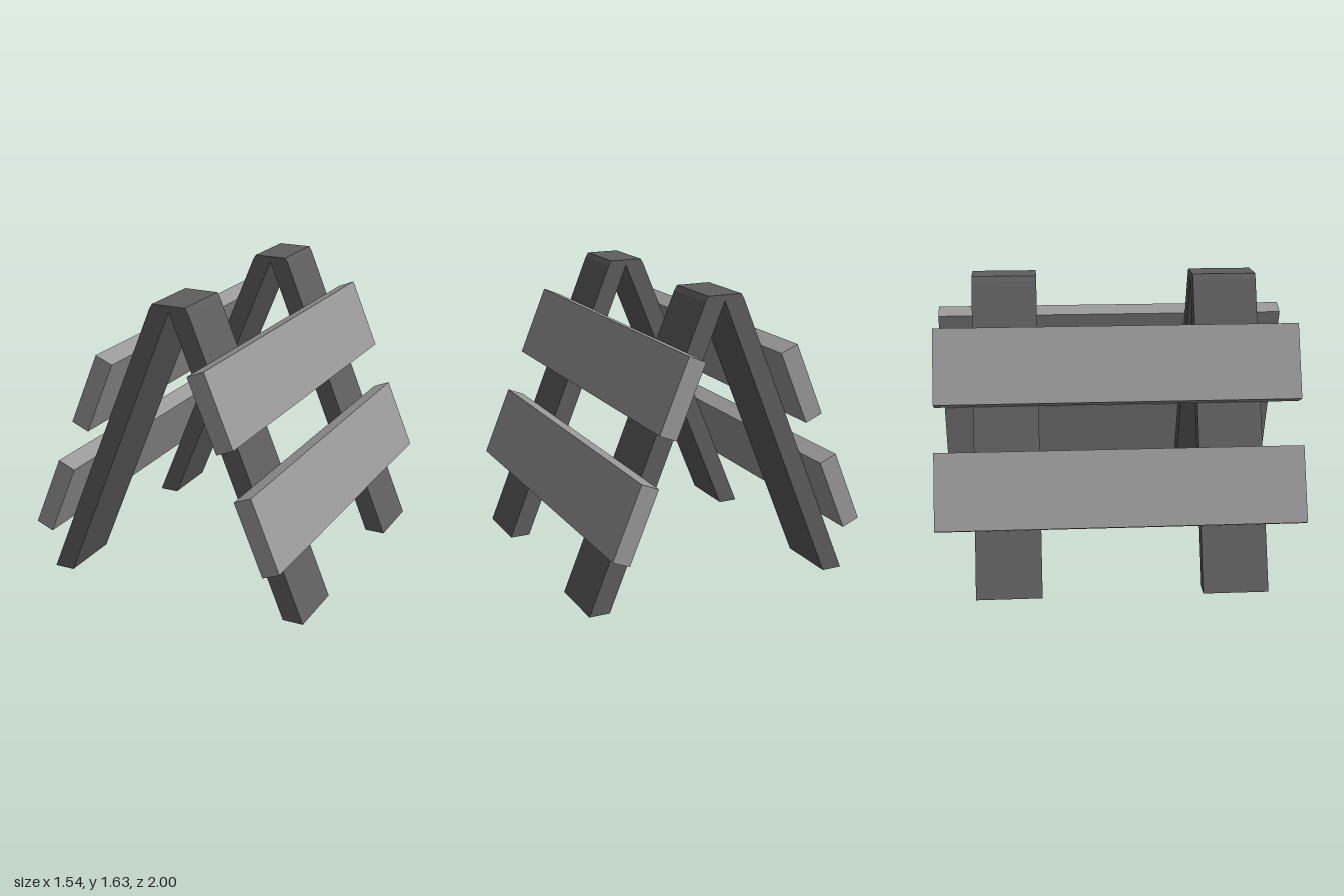
import * as THREE from 'three';

const boardMaterial = new THREE.MeshStandardMaterial({ color: 0x999999 });
boardMaterial.name = 'light grey boards';
const frameMaterial = new THREE.MeshStandardMaterial({ color: 0x5e5e5e });
frameMaterial.name = 'dark grey frame';

// Extrudes an x/y outline along z, centred on zCentre
function prism(name, points, depth, zCentre, material) {
  const shape = new THREE.Shape(points.map(([x, y]) => new THREE.Vector2(x, y)));
  const geometry = new THREE.ExtrudeGeometry(shape, { depth, bevelEnabled: false });
  geometry.translate(0, 0, zCentre - depth / 2);
  const mesh = new THREE.Mesh(geometry, material);
  mesh.name = name;
  return mesh;
}

export function createModel() {
  const model = new THREE.Group();
  model.name = 'trestleBarricade';

  // A-shaped frames: right half of the outline, mirrored for the left half
  const half = [[0.655, 0], [0.77, 0], [0.112, 1.6], [0.095, 1.628]];
  const outline = [
    [0, 1.597],
    ...half,
    ...half.map(([x, y]) => [-x, y]).reverse(),
  ];
  model.add(prism('frontFrame', outline, 0.355, 0.612, frameMaterial));
  model.add(prism('backFrame', outline, 0.355, -0.612, frameMaterial));

  // Two long boards resting on each sloping side
  const boards = [
    ['upper', [[0.375, 0.96], [0.469, 0.999], [0.308, 1.385], [0.214, 1.346]]],
    ['lower', [[0.633, 0.338], [0.727, 0.377], [0.566, 0.763], [0.472, 0.724]]],
  ];
  for (const [level, corners] of boards) {
    for (const [side, sign] of [['Left', 1], ['Right', -1]]) {
      const points = corners.map(([x, y]) => [sign * x, y]);
      model.add(prism(`${level}${side}Board`, points, 2, 0, boardMaterial));
    }
  }
  return model;
}
